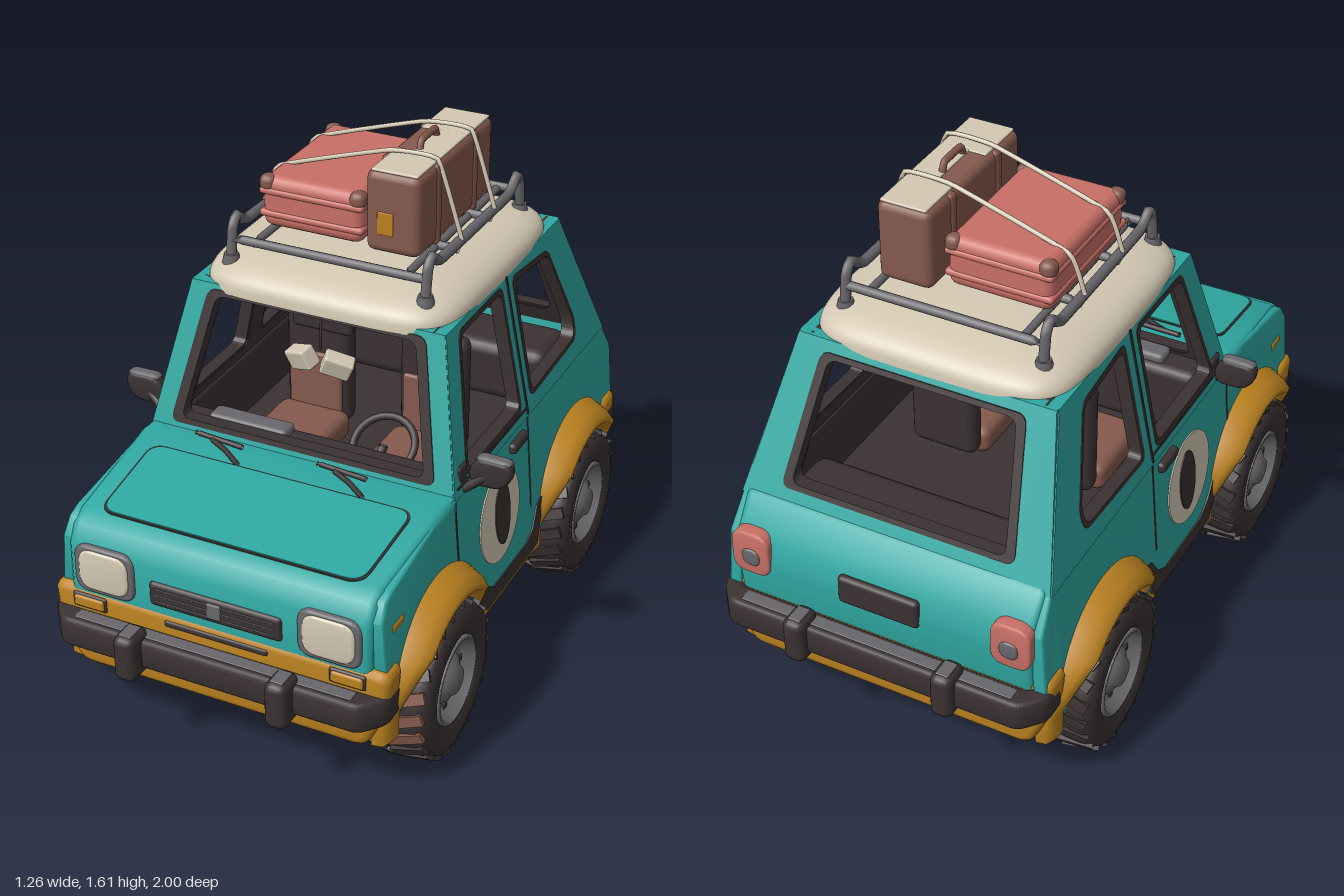
import * as THREE from 'three';
import { toCreasedNormals, mergeVertices } from 'three/addons/utils/BufferGeometryUtils.js';
import { RoundedBoxGeometry } from 'three/addons/geometries/RoundedBoxGeometry.js';

const V = (x, y, z) => new THREE.Vector3(x, y, z);
const paint = (name, color) => Object.assign(new THREE.MeshStandardMaterial({ color, side: THREE.DoubleSide }), { name });

export function createModel() {
  const teal = paint('teal', 0x2fa7a1), yellow = paint('mustard', 0xbb8220), cream = paint('cream', 0xd3c8b3);
  const black = paint('charcoal', 0x3a3132), grey = paint('grey', 0x68666a), brown = paint('leather', 0x84594d);
  const red = paint('coral', 0xc87066);
  const car = new THREE.Group();
  car.name = 'car';

  const add = (parent, name, geo, mat, x = 0, y = 0, z = 0) => {
    const m = new THREE.Mesh(geo, mat);
    m.name = name;
    m.position.set(x, y, z);
    parent.add(m);
    return m;
  };
  const box = (p, name, mat, w, h, d, x, y, z, r = 0.015) =>
    add(p, name, new RoundedBoxGeometry(w, h, d, 2, Math.min(r, w / 2.1, h / 2.1, d / 2.1)), mat, x, y, z);
  const tube = (p, name, mat, r, pts) =>
    add(p, name, new THREE.TubeGeometry(new THREE.CatmullRomCurve3(pts.map(a => V(...a)), false, 'catmullrom', 0.15), pts.length * 8, r, 8), mat);
  const poly = pts => new THREE.Shape(pts.map(p => new THREE.Vector2(...p)));
  // polygon with rounded corners
  const soft = (pts, r = 0.03, S = THREE.Shape) => {
    const s = new S(), n = pts.length;
    pts.forEach((p, i) => {
      const at = q => { const l = Math.hypot(q[0] - p[0], q[1] - p[1]), k = Math.min(r, l / 2) / l; return [p[0] + (q[0] - p[0]) * k, p[1] + (q[1] - p[1]) * k]; };
      const a = at(pts[(i + n - 1) % n]), b = at(pts[(i + 1) % n]);
      i ? s.lineTo(...a) : s.moveTo(...a);
      s.quadraticCurveTo(...p, ...b);
    });
    s.closePath();
    return s;
  };
  const bend = (g, rule) => {
    const a = g.attributes.position, v = V();
    for (let i = 0; i < a.count; i++) { v.fromBufferAttribute(a, i); rule(v); a.setXYZ(i, v.x, v.y, v.z); }
    return g;
  };
  // extrude along an axis, centred on it, then bend by a vertex rule
  const slab = (shape, depth, axis, bevel = 0, rule = () => {}) => {
    const g = new THREE.ExtrudeGeometry(shape, { depth: depth - 2 * bevel, bevelEnabled: bevel > 0, bevelSize: bevel, bevelThickness: bevel, bevelOffset: -bevel, bevelSegments: 3, curveSegments: 16 });
    g.translate(0, 0, bevel - depth / 2);
    if (axis === 'x') g.rotateY(-Math.PI / 2);
    if (axis === 'y') g.rotateX(Math.PI / 2);
    return toCreasedNormals(bend(g, rule), 0.6);
  };
  const scaled = (pts, k) => {
    const c = [0, 1].map(j => pts.reduce((s, p) => s + p[j], 0) / pts.length);
    return pts.map(p => [c[0] + (p[0] - c[0]) * k, c[1] + (p[1] - c[1]) * k]);
  };
  const ring = pts => { const s = soft(scaled(pts, 1.035)); s.holes.push(soft(scaled(pts, 0.95), 0.03, THREE.Path)); return s; };

  // nose with bonnet, and tail
  const taper = v => { v.x *= 1 - 0.12 * Math.max(0, Math.abs(v.z) - 0.5); };
  add(car, 'nose', slab(poly([[0.36, 0.75], [0.42, 0.758], [0.8, 0.703], [0.85, 0.675], [0.88, 0.62], [0.88, 0.46], [0.82, 0.46], [0.81, 0.63], [0.36, 0.69]]), 1.0, 'x', 0.025, taper), teal);
  add(car, 'tail', slab(poly([[-0.78, 0.76], [-0.82, 0.745], [-0.89, 0.65], [-0.905, 0.56], [-0.89, 0.44], [-0.84, 0.44], [-0.84, 0.62], [-0.77, 0.7]]), 1.0, 'x', 0.02, taper), teal);
  const hood = (w, z0, z1, t) => slab(soft([[-w, z0], [w, z0], [w - 0.01, z1], [0.01 - w, z1]], 0.05), t, 'y', 0, v => { v.y += 0.758 - (v.z - 0.42) * 0.1447; });
  add(car, 'bonnetSeam', hood(0.425, 0.485, 0.805, 0.004), black);
  add(car, 'bonnetPanel', hood(0.419, 0.491, 0.8, 0.01), teal);

  // underbody and cabin lining
  box(car, 'underbody', black, 0.69, 0.32, 1.7, 0, 0.368, 0);
  box(car, 'underbodyCentre', black, 0.98, 0.3, 0.54, 0, 0.36, 0);
  box(car, 'cabinFloor', black, 0.93, 0.03, 1.66, 0, 0.525, -0.01);
  box(car, 'dashboard', black, 0.9, 0.23, 0.13, 0, 0.65, 0.3, 0.03);
  box(car, 'dashPad', grey, 0.26, 0.035, 0.07, -0.2, 0.775, 0.29);
  box(car, 'rearBench', black, 0.8, 0.2, 0.22, 0, 0.63, -0.66, 0.04);
  box(car, 'headliner', black, 0.72, 0.015, 0.78, 0, 1.182, -0.17);

  // one flank, built on +x and mirrored
  const frontWin = [[0.275, 0.775], [0.175, 1.165], [-0.13, 1.165], [-0.13, 0.775]];
  const rearWin = [[-0.215, 0.785], [-0.215, 1.16], [-0.48, 1.135], [-0.6, 0.86], [-0.585, 0.8]];
  const lean = y => 0.478 - (y - 0.74) * 0.2, lower = y => 0.497 - (y - 0.45) * 0.08;
  const flank = new THREE.Group();
  const sheet = (name, shape, depth, mat, f, off = 0, bevel = 0) => add(flank, name, slab(shape, depth, 'x', bevel, v => { v.x += f(v.y) + off; }), mat);
  const lowerShape = new THREE.Shape();
  lowerShape.moveTo(-0.89, 0.44);
  lowerShape.lineTo(-0.79, 0.3);
  for (const z of [-0.525, 0.525]) lowerShape.absarc(z, 0.25, 0.27, Math.PI - 0.18, 0.18, true);
  [[0.86, 0.44], [0.862, 0.63], [0.83, 0.68], [0.79, 0.697], [0.4, 0.752], [-0.81, 0.745], [-0.885, 0.64]].forEach(p => lowerShape.lineTo(...p));
  sheet('lowerSide', lowerShape, 0.04, teal, lower, 0, 0.008);
  const upper = poly([[0.375, 0.735], [0.255, 1.192], [-0.6, 1.192], [-0.815, 0.735]]);
  upper.holes.push(soft(frontWin, 0.03, THREE.Path), soft(rearWin, 0.03, THREE.Path));
  sheet('upperSide', upper, 0.035, teal, lean);
  sheet('upperLining', upper, 0.008, black, lean, -0.022);
  [frontWin, rearWin].forEach(w => sheet('sideWindowTrim', ring(w), 0.042, black, lean, -0.002));
  box(flank, 'cabinLining', black, 0.02, 0.22, 1.15, 0.455, 0.635, -0.22);
  // door seams, trim, roundel and handle
  for (const [z0, z1, y0, y1, f] of [[-0.174, -0.166, 0.745, 1.185, lean], [-0.174, -0.166, 0.42, 0.745, lower], [0.366, 0.374, 0.51, 0.735, lower], [-0.17, 0.35, 0.762, 0.768, lean]])
    sheet('doorSeam', poly([[z0, y0], [z1, y0], [z1, y1], [z0, y1]]), 0.043, black, f);
  sheet('sillTrim', poly([[0.3, 0.46], [0.26, 0.34], [0.2, 0.27], [-0.2, 0.27], [-0.27, 0.42], [-0.21, 0.4], [-0.17, 0.34], [-0.12, 0.315], [0.14, 0.315], [0.2, 0.35]]), 0.05, black, lower);
  const disc = (z, rz, ry) => new THREE.Shape().absellipse(z, 0.525, rz, ry, 0, Math.PI * 2);
  sheet('roundel', disc(0.07, 0.148, 0.148), 0.008, cream, lower, 0.02);
  sheet('roundelSpot', disc(0.055, 0.055, 0.105), 0.008, black, lower, 0.023);
  box(flank, 'doorHandle', black, 0.03, 0.035, 0.11, 0.503, 0.695, -0.08, 0.012);
  box(flank, 'sideMarker', yellow, 0.02, 0.028, 0.07, 0.5, 0.58, 0.77, 0.008);
  box(flank, 'sill', yellow, 0.08, 0.085, 0.56, 0.48, 0.258, 0, 0.02);
  // door mirror, narrower towards its tip
  tube(flank, 'mirrorArm', black, 0.014, [[0.45, 0.72, 0.31], [0.5, 0.75, 0.3], [0.55, 0.79, 0.285]]);
  const mirror = (name, mat, pts, depth) => add(flank, name, slab(soft(pts, 0.025), depth, 'z', depth * 0.3), mat, 0, 0, 0.275);
  mirror('doorMirror', black, [[0.51, 0.755], [0.6, 0.758], [0.632, 0.8], [0.625, 0.848], [0.525, 0.85], [0.495, 0.8]], 0.045);
  mirror('mirrorCap', grey, [[0.515, 0.835], [0.628, 0.835], [0.62, 0.853], [0.525, 0.855]], 0.04);
  box(flank, 'mirrorBase', black, 0.03, 0.09, 0.06, 0.475, 0.775, 0.3, 0.012);
  // wheel arches, flared at the top and fading into the body at both ends
  for (const z of [0.525, -0.525]) {
    const pts = [[0.262, 0.42], [0.256, 0.56], [0.266, 0.588], [0.285, 0.586], [0.308, 0.56], [0.332, 0.508], [0.337, 0.47]].map(p => new THREE.Vector2(...p));
    const g = new THREE.LatheGeometry(pts, 40, Math.PI - 0.1, Math.PI + 0.2).rotateZ(-Math.PI / 2);
    bend(g, v => { if (v.x > 0.5) v.x = 0.5 + (v.x - 0.5) * Math.min(1, Math.max(0.25, v.y / 0.2)); }).computeVertexNormals();
    add(flank, 'wheelArch', g, yellow, 0, 0.25, z);
  }
  // wheels, with worn outer lugs on the front pair
  const lathe = pts => new THREE.LatheGeometry(pts.map(p => new THREE.Vector2(...p)), 40).rotateZ(-Math.PI / 2);
  const tyreGeo = lathe([[0.13, -0.1], [0.15, -0.115], [0.19, -0.12], [0.222, -0.11], [0.235, -0.085], [0.238, 0], [0.235, 0.085], [0.222, 0.11], [0.19, 0.12], [0.15, 0.115], [0.13, 0.1], [0.13, 0.07]]);
  const rimGeo = lathe([[0.001, -0.07], [0.132, -0.07], [0.137, 0.112], [0.125, 0.115], [0.115, 0.075], [0.085, 0.07], [0.07, 0.09], [0.05, 0.1], [0.04, 0.115], [0.001, 0.118]]);
  const lugGeo = new THREE.BoxGeometry(0.11, 0.018, 0.034);
  for (const z of [0.525, -0.525]) {
    const wheel = new THREE.Group();
    wheel.name = z > 0 ? 'frontWheel' : 'rearWheel';
    wheel.position.set(0.47, 0.247, z);
    add(wheel, 'tyre', tyreGeo, black);
    add(wheel, 'rim', rimGeo, grey);
    for (let i = 0; i < 22; i++) for (const s of [-1, 1]) {
      const pivot = new THREE.Group(), a = (i + (s > 0 ? 0.5 : 0)) / 22 * Math.PI * 2, worn = z > 0 && s > 0 && Math.sin(a) > 0.85;
      pivot.rotation.x = a;
      add(pivot, 'treadLug', lugGeo, worn ? brown : black, s * 0.054, 0.235, 0).rotation.set(0, s * 0.35, -s * 0.12);
      wheel.add(pivot);
    }
    for (let i = 0; i < 8; i++) {
      const a = i / 8 * Math.PI * 2;
      box(wheel, 'rimSlot', black, 0.008, 0.022, 0.022, 0.074, Math.cos(a) * 0.1, Math.sin(a) * 0.1, 0.004);
    }
    flank.add(wheel);
  }
  flank.name = 'leftSide';
  const other = flank.clone();
  other.name = 'rightSide';
  other.scale.x = -1;
  car.add(flank, other);

  // windscreen and rear window frames, lined in dark
  const frame = (name, hole, inward, rule) => {
    const s = poly([[-0.492, 0.735], [0.492, 0.735], [0.402, 1.192], [-0.402, 1.192]]);
    s.holes.push(soft(hole, 0.04, THREE.Path));
    const at = off => v => { v.z += rule(v.y) + off; };
    add(car, name, slab(s, 0.035, 'z', 0, at(0)), teal);
    add(car, name + 'Lining', slab(s, 0.008, 'z', 0, v => { v.x *= 0.95; at(inward * 0.022)(v); }), black);
    add(car, name + 'Trim', slab(ring(hole), 0.042, 'z', 0, at(0)), black);
  };
  frame('windscreenFrame', [[-0.415, 0.775], [0.415, 0.775], [0.335, 1.17], [-0.335, 1.17]], -1, y => 0.36 - (y - 0.735) * 0.265);
  frame('rearWindowFrame', [[-0.36, 0.79], [0.36, 0.79], [0.31, 1.155], [-0.31, 1.155]], 1, y => -0.8 + (y - 0.735) * 0.455);

  // domed roof with squared plan
  const pw = (v, e) => Math.sign(v) * Math.abs(v) ** e;
  let roof = bend(new THREE.SphereGeometry(1, 64, 16, 0, Math.PI * 2, 0, Math.PI / 2), v => {
    const h = Math.max(0, v.y), k = Math.sqrt(1 - h * h) ** 0.65, a = Math.atan2(v.z, v.x);
    v.set(0.408 * k * pw(Math.cos(a), 0.35), 1.172 + 0.108 * h ** 0.65, -0.17 + 0.447 * k * pw(Math.sin(a), 0.35));
  });
  roof.deleteAttribute('uv');
  roof.deleteAttribute('normal');
  roof = mergeVertices(roof);
  roof.computeVertexNormals();
  add(car, 'roof', roof, cream);

  // lower aprons and bumpers, front and rear
  for (const s of [1, -1]) {
    const end = s > 0 ? 'front' : 'rear', y = s > 0 ? 0.36 : 0.4, out = s > 0 ? 0 : 0.02;
    add(car, end + 'Apron', slab(soft([[-0.535, 0.48], [-0.525, 0.36], [-0.46, 0.215], [0.46, 0.215], [0.525, 0.36], [0.535, 0.48]], 0.04), 0.1, 'z', 0.025), yellow, 0, 0, s * 0.835);
    box(car, end + 'UnderPlate', black, 0.9, 0.02, 0.07, 0, 0.22, s * 0.82, 0.005);
    const bar = [[-0.53, 0.79], [-0.53, 0.88], [-0.47, 0.95], [0.47, 0.95], [0.53, 0.88], [0.53, 0.79], [0.49, 0.79], [0.47, 0.87], [-0.47, 0.87], [-0.49, 0.79]];
    const b = add(car, end + 'Bumper', slab(soft(bar, 0.025), 0.095, 'y', 0.015), black, 0, y, -out);
    if (s < 0) b.rotation.y = Math.PI;
    box(car, end + 'BumperWear', grey, 0.88, 0.008, 0.04, 0, y + 0.046, s * (0.908 + out), 0.003);
    for (const x of [-0.24, 0.24]) {
      box(car, end + 'Overrider', black, 0.07, 0.15, 0.1, x, y, s * 0.95, 0.025);
      box(car, end + 'OverriderWear', grey, 0.04, 0.008, 0.06, x, y + 0.073, s * 0.95, 0.003);
    }
  }

  // lights, grille and plate
  const lens = (name, mat, w, h, d, x, y, z) => add(car, name, slab(soft([[-w, -h], [w, -h], [w, h], [-w, h]], 0.045), d, 'z', 0.008), mat, x, y, z);
  for (const s of [-1, 1]) {
    lens('headlightBezel', grey, 0.097, 0.077, 0.04, s * 0.355, 0.556, 0.87);
    lens('headlight', cream, 0.08, 0.065, 0.03, s * 0.355, 0.558, 0.882);
    box(car, 'indicatorSurround', black, 0.115, 0.05, 0.02, s * 0.41, 0.44, 0.88);
    box(car, 'indicator', yellow, 0.1, 0.038, 0.02, s * 0.41, 0.44, 0.886);
    lens('tailLight', red, 0.062, 0.073, 0.05, s * 0.418, 0.6, -0.89);
    lens('tailLightLens', grey, 0.03, 0.03, 0.02, s * 0.415, 0.59, -0.91);
    tube(car, 'wiper', black, 0.008, [[s * 0.2 - 0.06, 0.77, 0.42], [s * 0.2, 0.766, 0.45], [s * 0.2 + 0.06, 0.757, 0.49]]);
    tube(car, 'wiperBlade', black, 0.008, [[s * 0.2 - 0.12, 0.775, 0.41], [s * 0.2 + 0.04, 0.77, 0.42]]);
  }
  box(car, 'grille', black, 0.42, 0.08, 0.03, 0, 0.535, 0.875);
  for (const y of [0.515, 0.535, 0.555]) box(car, 'grilleBar', grey, 0.38, 0.005, 0.01, 0, y, 0.888, 0.002);
  box(car, 'grilleBadge', grey, 0.045, 0.05, 0.012, 0, 0.537, 0.89, 0.005);
  box(car, 'airSlot', black, 0.33, 0.022, 0.02, 0, 0.445, 0.88, 0.008);
  box(car, 'numberPlate', black, 0.26, 0.095, 0.03, 0, 0.585, -0.9);

  // seats, steering wheel, mirror and hanging dice
  for (const x of [-0.2, 0.19]) {
    box(car, 'seatCushion', brown, 0.24, 0.09, 0.28, x, 0.58, 0, 0.03);
    box(car, 'seatBack', black, 0.22, 0.38, 0.07, x, 0.76, -0.17, 0.03);
    box(car, 'seatPad', brown, 0.18, 0.24, 0.02, x, 0.69, -0.13);
  }
  add(car, 'steeringWheel', new THREE.TorusGeometry(0.095, 0.012, 8, 28), black, 0.19, 0.75, 0.2).rotation.x = -0.9;
  tube(car, 'steeringColumn', black, 0.015, [[0.19, 0.75, 0.2], [0.19, 0.68, 0.29]]);
  box(car, 'rearMirror', black, 0.19, 0.07, 0.03, 0, 1.13, 0.21);
  tube(car, 'diceCord', black, 0.004, [[0, 1.18, 0.22], [0, 1.04, 0.23]]);
  for (const s of [-1, 1]) box(car, 'hangingDie', cream, 0.09, 0.065, 0.05, s * 0.057, 1.005, 0.235, 0.008).rotation.set(0.3, s * 0.3, s * -0.45);

  // roof rack
  for (const s of [-1, 1]) {
    const x = s * 0.31;
    tube(car, 'rackSideRail', grey, 0.016, [[x, 1.235, 0.19], [x, 1.34, 0.175], [x, 1.37, 0.15], [x, 1.335, 0.09], [x, 1.33, -0.4], [x, 1.37, -0.47], [x, 1.34, -0.495], [x, 1.235, -0.51]]);
    for (const z of [0.187, -0.505]) add(car, 'rackFoot', new THREE.CylinderGeometry(0.022, 0.028, 0.03, 12), grey, x, 1.25, z);
    tube(car, 'rackFloorRail', grey, 0.012, [[s * 0.24, 1.305, 0.18], [s * 0.24, 1.305, -0.5]]);
  }
  for (const z of [0.18, -0.04, -0.28, -0.5]) tube(car, 'rackCrossBar', grey, 0.014, [[-0.31, 1.31, z], [0.31, 1.31, z]]);

  // luggage
  box(car, 'redSuitcase', red, 0.325, 0.16, 0.46, -0.105, 1.395, -0.15, 0.03);
  for (const y of [1.36, 1.43]) box(car, 'redSuitcaseBand', red, 0.335, 0.022, 0.47, -0.105, y, -0.15, 0.01);
  for (const x of [-0.25, 0.04]) for (const z of [-0.36, 0.06]) box(car, 'redSuitcaseCorner', brown, 0.05, 0.05, 0.05, x, 1.452, z, 0.02);
  box(car, 'brownSuitcase', brown, 0.17, 0.25, 0.53, 0.16, 1.44, -0.17, 0.025);
  for (const z of [-0.3, -0.04]) box(car, 'suitcaseStrap', brown, 0.18, 0.25, 0.035, 0.16, 1.438, z, 0.012);
  for (const [w, d, z] of [[0.145, 0.17, -0.34], [0.145, 0.17, 0], [0.09, 0.18, -0.17]]) box(car, 'suitcaseTopPatch', cream, w, 0.009, d, 0.235 - w / 2, 1.565, z, 0.004);
  box(car, 'suitcaseSticker', yellow, 0.05, 0.07, 0.008, 0.14, 1.41, 0.094, 0.003);
  tube(car, 'suitcaseHandle', brown, 0.011, [[0.155, 1.56, -0.1], [0.155, 1.592, -0.115], [0.155, 1.592, -0.205], [0.155, 1.56, -0.22]]);
  for (const z of [-0.28, -0.04]) tube(car, 'luggageStrap', cream, 0.007, [[-0.32, 1.34, z], [-0.27, 1.46, z], [0.09, 1.576, z], [0.24, 1.576, z], [0.32, 1.34, z]]);
  return car;
}
